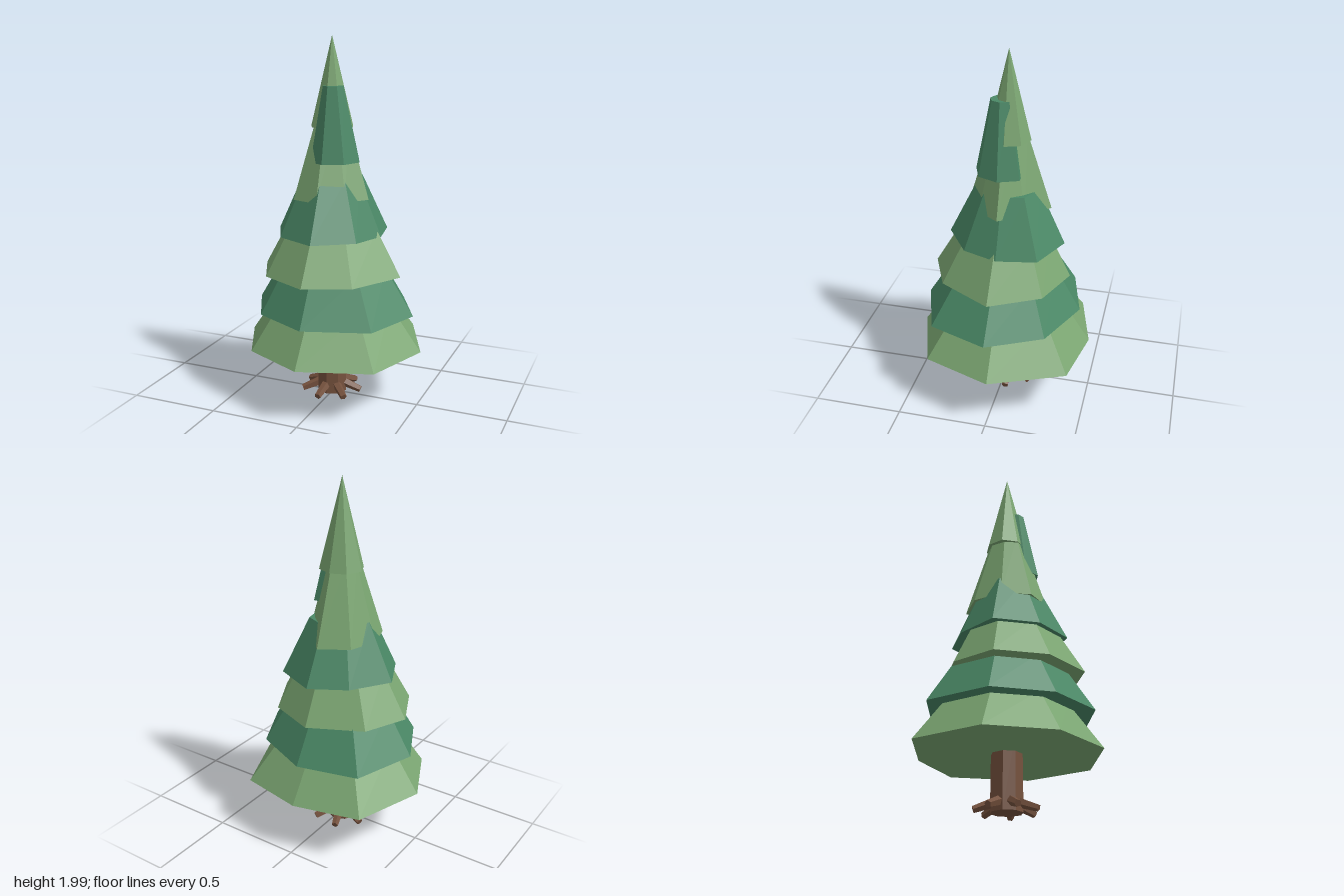
import * as THREE from 'three';

const mat = (name, color) => Object.assign(new THREE.MeshStandardMaterial({ color }), { name });

// Tree axis
const CX = -0.013, CZ = -0.015;

function faceted(geo) {
  const g = geo.index ? geo.toNonIndexed() : geo;
  g.computeVertexNormals();
  return g;
}

// Closed faceted tier: an uneven octagon at y0 shrinking towards (cx, cz) at y1
function tierGeometry(ring, y0, y1, scale, cx, cz) {
  const pos = [];
  const low = ring.map(([x, z]) => [x, y0, z]);
  const high = ring.map(([x, z]) => [cx + (x - cx) * scale, y1, cz + (z - cz) * scale]);
  for (let i = 0; i < ring.length; i++) {
    const j = (i + 1) % ring.length;
    pos.push(...low[i], ...high[i], ...low[j]);
    pos.push(...[cx, y0, cz], ...low[i], ...low[j]);
    if (scale > 0) {
      pos.push(...low[j], ...high[i], ...high[j]);
      pos.push(...[cx, y1, cz], ...high[j], ...high[i]);
    }
  }
  const g = new THREE.BufferGeometry();
  g.setAttribute('position', new THREE.Float32BufferAttribute(pos, 3));
  return faceted(g);
}

export function createModel() {
  const tree = new THREE.Group();
  tree.name = 'pineTree';
  const light = mat('lightNeedles', 0x7ba672);
  const dark = mat('darkNeedles', 0x4a8866);
  const bark = mat('bark', 0x75513d);

  const add = (name, geo, material) => {
    const m = new THREE.Mesh(geo, material);
    m.name = name;
    tree.add(m);
    return m;
  };

  // Foliage tiers, bottom to top; rings run left side, back, right side, front
  const tiers = [
    { y0: 0.31, y1: 0.56, s: 0.65, ring: [[-0.51, -0.015], [-0.38, -0.4], [-0.013, -0.49], [0.34, -0.42], [0.51, -0.015], [0.375, 0.36], [-0.013, 0.487], [-0.35, 0.325]] },
    { y0: 0.52, y1: 0.77, s: 0.66, ring: [[-0.45, 0], [-0.335, -0.35], [0, -0.43], [0.32, -0.29], [0.47, 0.01], [0.35, 0.335], [0, 0.45], [-0.3, 0.3]] },
    { y0: 0.73, y1: 0.98, s: 0.65, ring: [[-0.405, 0.01], [-0.3, -0.225], [-0.013, -0.365], [0.25, -0.26], [0.395, 0.01], [0.23, 0.3], [-0.013, 0.405], [-0.28, 0.27]] },
    { y0: 0.94, y1: 1.25, s: 0.54, ring: [[-0.33, -0.015], [-0.195, -0.22], [0, -0.33], [0.235, -0.225], [0.275, -0.01], [0.205, 0.18], [0, 0.315], [-0.22, 0.21]] },
    { y0: 1.14, y1: 1.56, s: 0.42, ring: [[-0.215, 0], [-0.165, -0.16], [-0.013, -0.25], [0.115, -0.13], [0.205, 0], [0.12, 0.12], [-0.013, 0.205], [-0.165, 0.155]] },
    { y0: 1.34, y1: 1.74, s: 0.42, cx: 0, cz: 0.02, ring: [[-0.1, 0.02], [-0.07, -0.08], [0.02, -0.1], [0.11, -0.1], [0.155, 0.01], [0.11, 0.12], [0, 0.16], [-0.085, 0.11]] },
    { y0: 1.52, y1: 2, s: 0, ring: [[-0.135, -0.015], [-0.097, -0.1], [-0.013, -0.135], [0.075, -0.1], [0.105, -0.015], [0.07, 0.065], [-0.013, 0.1], [-0.095, 0.065]] },
  ];
  tiers.forEach((t, i) =>
    add(`foliageTier${i + 1}`, tierGeometry(t.ring, t.y0, t.y1, t.s, t.cx ?? CX, t.cz ?? CZ), i % 2 ? dark : light));

  // Trunk
  const trunk = add('trunk', faceted(new THREE.CylinderGeometry(0.083, 0.086, 0.39, 8)), bark);
  trunk.position.set(CX, 0.205, CZ);

  // Roots spreading from the trunk base
  const up = new THREE.Vector3(0, 1, 0);
  const count = 7;
  for (let i = 0; i < count; i++) {
    const a = Math.PI / 4 + (i / count) * Math.PI * 2;
    const at = (r, y) => new THREE.Vector3(CX + r * Math.cos(a), y, CZ + r * Math.sin(a));
    const from = at(0.06, 0.062), to = at(0.168, 0.023);
    const dir = to.clone().sub(from);
    const root = add(`root${i + 1}`, faceted(new THREE.CylinderGeometry(0.019, 0.027, dir.length(), 5)), bark);
    root.position.copy(from).addScaledVector(dir, 0.5);
    root.quaternion.setFromUnitVectors(up, dir.normalize());
  }
  return tree;
}
